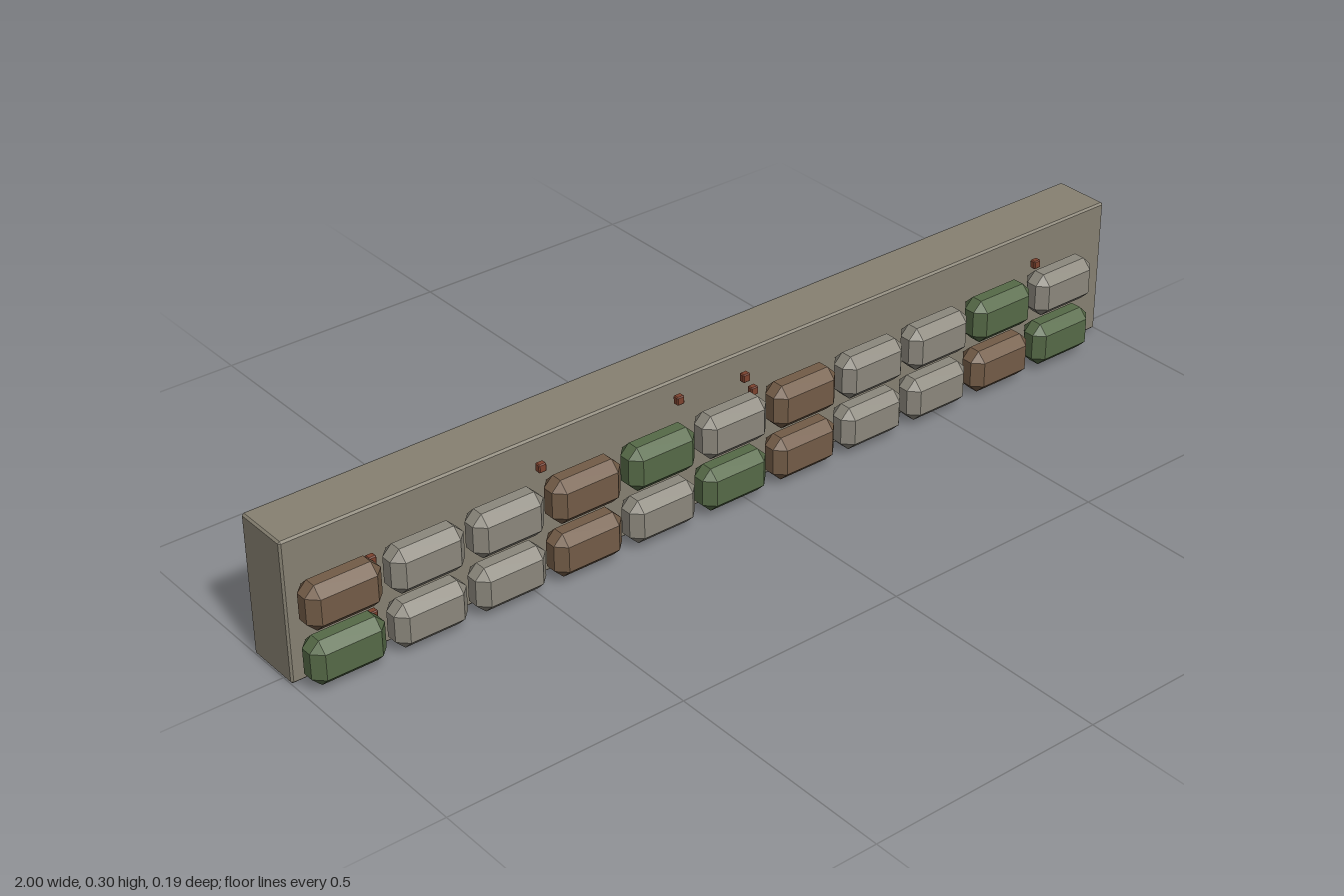
import * as THREE from 'three';
import { ConvexGeometry } from 'three/addons/geometries/ConvexGeometry.js';

const material = (name, color) => {
  const m = new THREE.MeshStandardMaterial({ color });
  m.name = name;
  return m;
};

// Box with flat chamfers on every edge and corner
function chamferBox(w, h, d, c) {
  const half = [w / 2, h / 2, d / 2];
  const points = [];
  for (const sx of [-1, 1]) for (const sy of [-1, 1]) for (const sz of [-1, 1]) {
    for (let axis = 0; axis < 3; axis++) {
      const [x, y, z] = half.map((v, i) => (i === axis ? v : v - c));
      points.push(new THREE.Vector3(sx * x, sy * y, sz * z));
    }
  }
  return new ConvexGeometry(points);
}

export function createModel() {
  const group = new THREE.Group();
  group.name = 'barricadeWall';

  const concrete = material('concrete', 0x878172);
  const rust = material('rust', 0x7d432f);
  const bagColors = {
    s: material('greyCloth', 0x8c887d),
    b: material('brownCloth', 0x735c47),
    g: material('greenCloth', 0x566a47),
  };

  const add = (name, geometry, mat, x, y, z) => {
    const mesh = new THREE.Mesh(geometry, mat);
    mesh.name = name;
    mesh.position.set(x, y, z);
    group.add(mesh);
  };

  // Long wall slab
  add('wall', chamferBox(2, 0.298, 0.123, 0.004), concrete, 0, 0.15, -0.0335);

  // Two rows of chamfered bags along the front; one letter per bag colour
  const bag = chamferBox(0.156, 0.094, 0.064, 0.02);
  const rows = [
    { y: 0.061, colors: 'gssbsgbssbg' },
    { y: 0.177, colors: 'bssbgsbssgs' },
  ];
  for (const { y, colors } of rows) {
    [...colors].forEach((key, i) => add('bag', bag, bagColors[key], -0.91 + i * 0.175, y, 0.065));
  }

  // Small rusty studs scattered over the front
  const stud = chamferBox(0.017, 0.018, 0.014, 0.002);
  const studs = [
    [-0.83, 0.2], [-0.835, 0.086], [-0.755, 0.131], [-0.46, 0.243], [-0.14, 0.263],
    [0.02, 0.252], [0.04, 0.216], [0.055, 0.136], [0.213, 0.05], [0.793, 0.232],
  ];
  for (const [x, y] of studs) add('stud', stud, rust, x, y, 0.042);

  return group;
}
